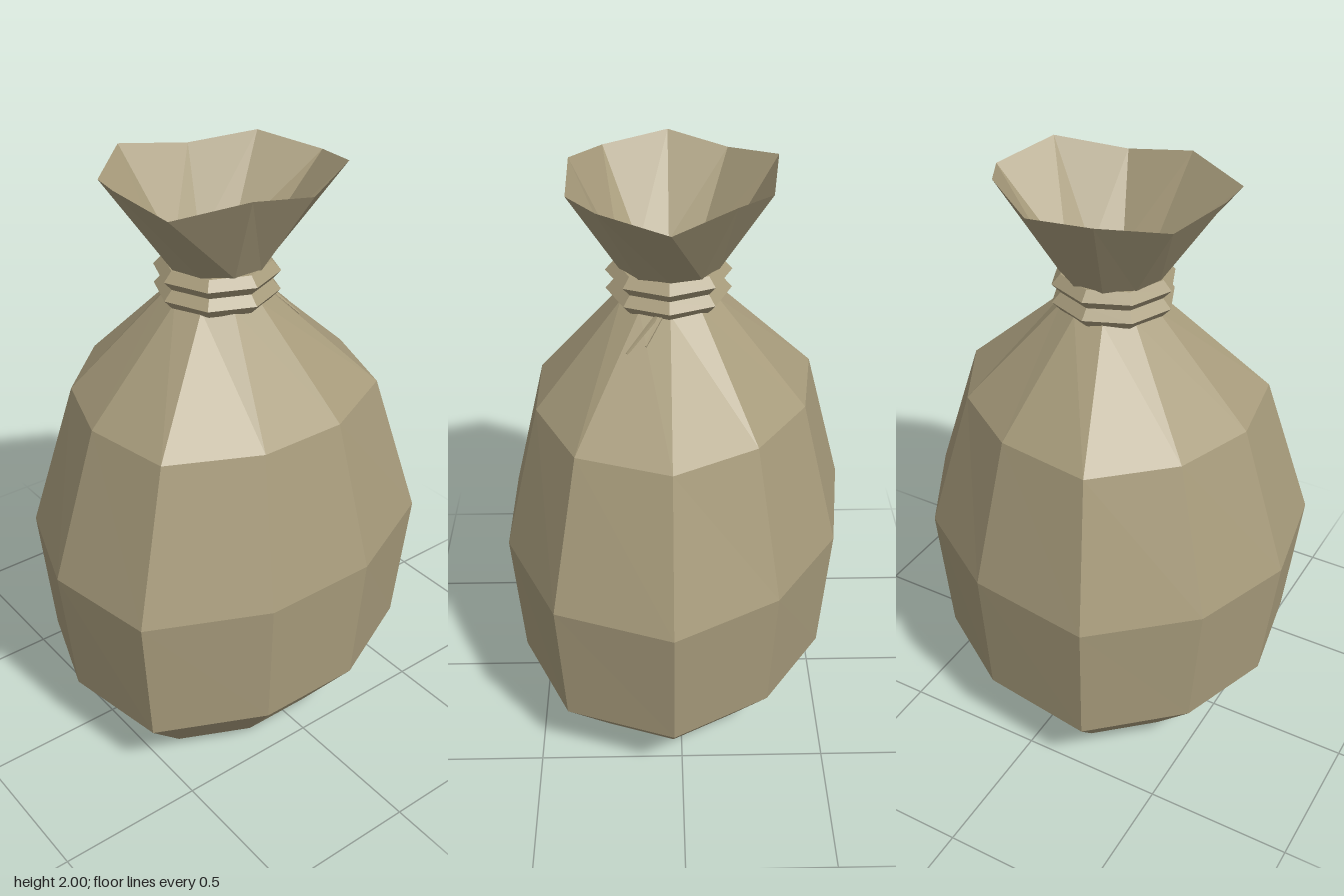
import * as THREE from 'three';

export function createModel() {
  const group = new THREE.Group();
  group.name = 'tiedSack';
  const cloth = new THREE.MeshStandardMaterial({ color: 0xa89c7c, flatShading: true, side: THREE.DoubleSide });
  cloth.name = 'burlap';

  const add = (name, geometry) => {
    const mesh = new THREE.Mesh(geometry, cloth);
    mesh.name = name;
    group.add(mesh);
    return mesh;
  };

  // Uneven ten-sided outline at the widest level, as [x, z]
  const cx = -0.02, cz = 0.03;
  const outline = [
    [-0.27, -0.6], [0.165, -0.54], [0.5, -0.32], [0.7, 0.03], [0.555, 0.42],
    [0.165, 0.6], [-0.24, 0.6], [-0.63, 0.42], [-0.7, 0.03], [-0.575, -0.325],
  ];
  const n = outline.length;
  const scaled = (y, sx, sz, dip = 0) => outline.map(([x, z], i) =>
    [cx + (x - cx) * sx, y - (i % 2) * dip, cz + (z - cz) * sz]);
  const round = (y, r) => outline.map((_, i) => {
    const a = (i - 3) * Math.PI * 2 / n;
    return [-0.035 + r * Math.cos(a), y, 0.03 + r * Math.sin(a)];
  });

  // Sack skin from base to the zigzag rim
  const levels = [
    scaled(0, 0.61, 0.62),
    scaled(0.24, 0.925, 0.942),
    scaled(0.715, 1, 1),
    scaled(1.23, 0.755, 0.785),
    round(1.58, 0.168),
    round(1.635, 0.148),
    round(1.69, 0.17),
    scaled(2, 0.58, 0.56, 0.038),
  ];
  const index = [];
  for (let i = 1; i < n - 1; i++) index.push(0, i, i + 1); // base
  for (let j = 0; j < levels.length - 1; j++) {
    for (let i = 0; i < n; i++) {
      const a = j * n + i, b = j * n + (i + 1) % n;
      index.push(a, a + n, b + n, a, b + n, b);
    }
  }
  const skin = new THREE.BufferGeometry();
  skin.setAttribute('position', new THREE.Float32BufferAttribute(levels.flat(2), 3));
  skin.setIndex(index);
  const flat = skin.toNonIndexed();
  flat.computeVertexNormals();
  add('sack', flat);

  // Two turns of cord around the neck
  const profile = [[0.15, -0.032], [0.178, -0.032], [0.207, 0], [0.178, 0.032], [0.15, 0.032]]
    .map(([r, y]) => new THREE.Vector2(r, y));
  [1.599, 1.663].forEach((y, i) => {
    add('cordTurn' + (i + 1), new THREE.LatheGeometry(profile, 8)).position.set(-0.037, y, 0.033);
  });

  // Thin loose cord ends lying on the shoulder
  const start = new THREE.Vector3(0.1, 1.6, 0.04);
  [[0.2, 1.48, 0.17], [0.2, 1.505, 0.11]].forEach((p, i) => {
    const end = new THREE.Vector3(...p);
    const dir = end.clone().sub(start);
    const tail = add('cordEnd' + (i + 1), new THREE.CylinderGeometry(0.004, 0.014, dir.length(), 4));
    tail.position.copy(start).add(end).multiplyScalar(0.5);
    tail.quaternion.setFromUnitVectors(new THREE.Vector3(0, 1, 0), dir.normalize());
  });

  return group;
}
